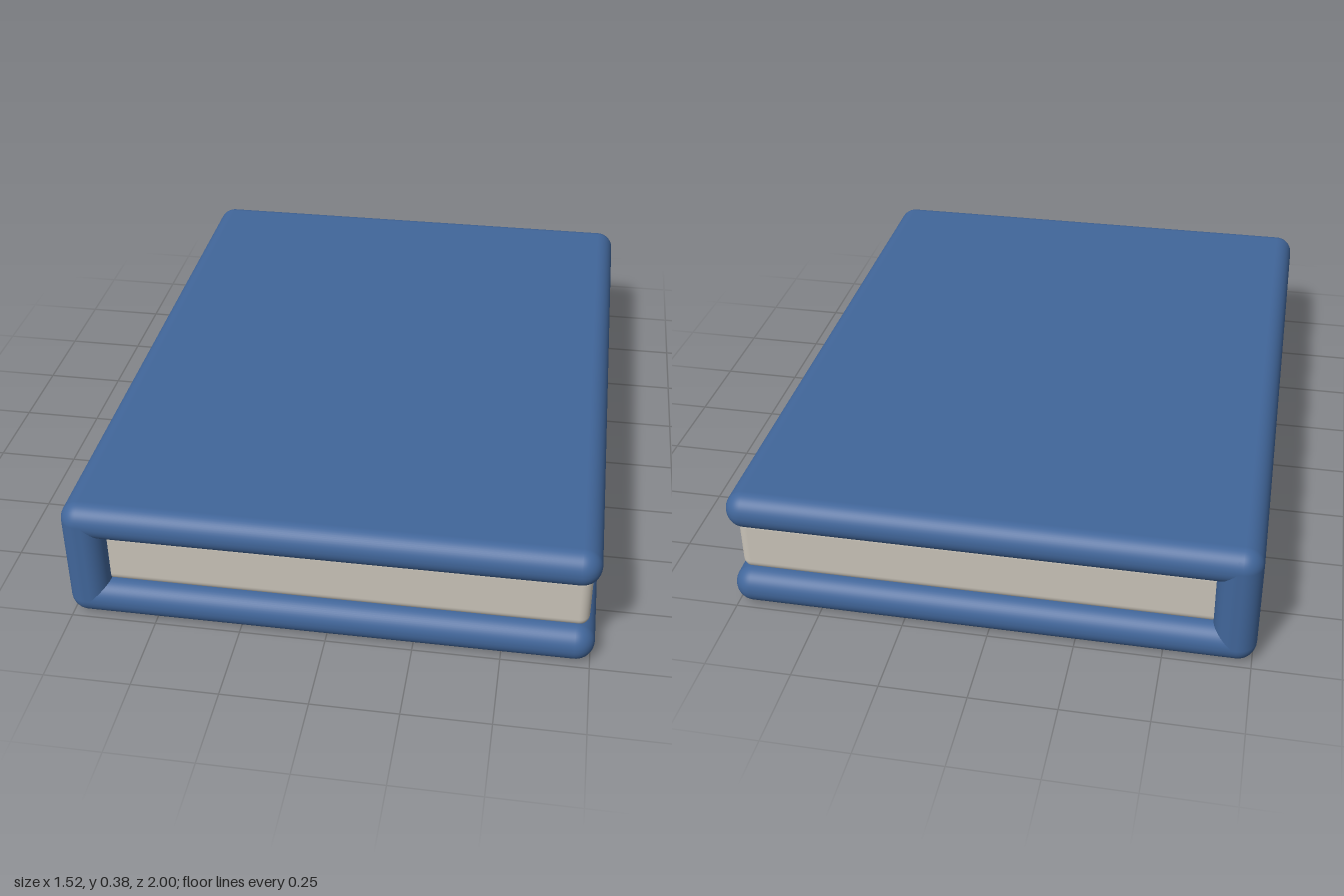
import * as THREE from 'three';
import { RoundedBoxGeometry } from 'three/addons/geometries/RoundedBoxGeometry.js';

export function createModel() {
  const book = new THREE.Group();
  book.name = 'book';
  const cloth = new THREE.MeshStandardMaterial({ color: 0x41669a });
  const paper = new THREE.MeshStandardMaterial({ color: 0xc9c3b8 });

  // Rounded block given by its extents along each axis
  function block(name, [x0, x1], [y0, y1], [z0, z1], radius, material) {
    const geometry = new RoundedBoxGeometry(x1 - x0, y1 - y0, z1 - z0, 6, radius);
    const mesh = new THREE.Mesh(geometry, material);
    mesh.name = name;
    mesh.position.set((x0 + x1) / 2, (y0 + y1) / 2, (z0 + z1) / 2);
    book.add(mesh);
  }

  const width = [-0.76, 0.76], length = [-1, 1], height = 0.38, board = 0.112;

  // Padded covers
  block('backCover', width, [0, board], length, 0.055, cloth);
  block('frontCover', width, [height - board, height], length, 0.055, cloth);

  // Spine joining the covers
  block('spine', [-0.76, -0.635], [0, height], length, 0.055, cloth);

  // Page block, slightly inset from the covers
  block('pages', [-0.7, 0.74], [0.1, height - 0.1], [-0.95, 0.95], 0.03, paper);

  return book;
}
